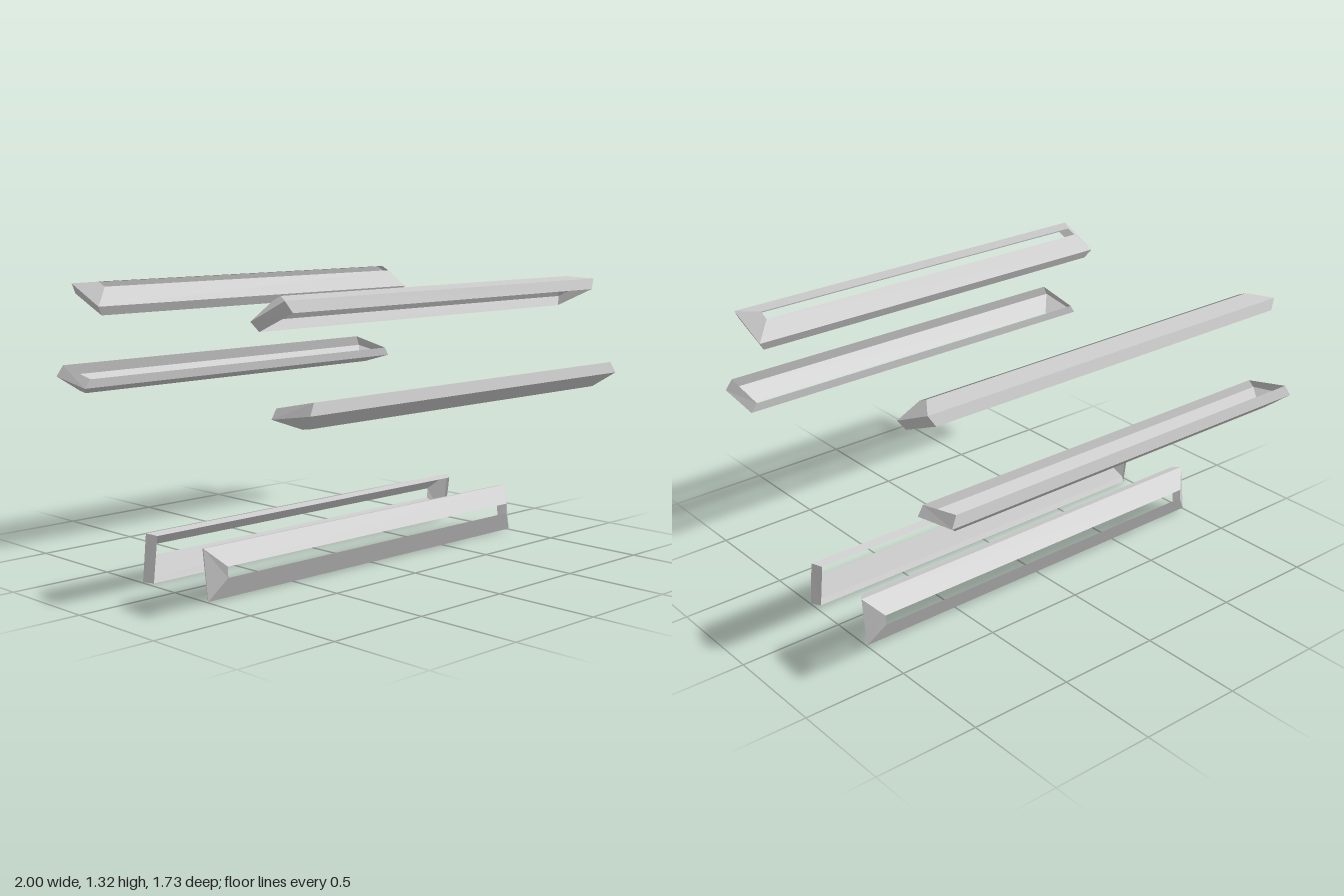
import * as THREE from 'three';

const material = new THREE.MeshStandardMaterial({ color: 0xcccccc, flatShading: true, side: THREE.DoubleSide });

// Half lengths of the three rectangular rings: open rim, widest ring, bevelled opening
const halfLengths = [0.97, 1, 0.925];

// Each ring is given by its two long edges as [z, y]
const frames = {
  lowerFrame: [
    [[0.157, 0.222], [0.188, 0.0]],
    [[0.2, 0.232], [0.228, 0.004]],
    [[0.273, 0.153], [0.273, 0.104]],
  ],
  middleFrame: [
    [[0.855, 0.923], [0.636, 0.877]],
    [[0.866, 0.872], [0.64, 0.835]],
    [[0.787, 0.805], [0.742, 0.798]],
  ],
  upperFrame: [
    [[0.737, 1.264], [0.537, 1.176]],
    [[0.723, 1.313], [0.517, 1.218]],
    [[0.616, 1.323], [0.57, 1.302]],
  ],
};

// Open shell lofted through the rectangular rings; side = 1 front, -1 back
function frameGeometry(rings, side) {
  const loops = rings.map(([[z1, y1], [z2, y2]], i) => {
    const x = halfLengths[i];
    return [[x, y1, z1 * side], [-x, y1, z1 * side], [-x, y2, z2 * side], [x, y2, z2 * side]];
  });
  const positions = [];
  for (let i = 0; i < loops.length - 1; i++) {
    for (let j = 0; j < 4; j++) {
      const k = (j + 1) % 4;
      const a = loops[i][j], b = loops[i][k], c = loops[i + 1][k], d = loops[i + 1][j];
      // keep the outside of the shell facing out on both halves
      const corners = side > 0 ? [a, b, c, a, c, d] : [a, c, b, a, d, c];
      positions.push(...corners.flat());
    }
  }
  const geometry = new THREE.BufferGeometry();
  geometry.setAttribute('position', new THREE.Float32BufferAttribute(positions, 3));
  geometry.computeVertexNormals();
  return geometry;
}

export function createModel() {
  const model = new THREE.Group();
  model.name = 'bevelledFrames';
  for (const [name, rings] of Object.entries(frames)) {
    for (const [suffix, side] of [['Front', 1], ['Back', -1]]) {
      const mesh = new THREE.Mesh(frameGeometry(rings, side), material);
      mesh.name = name + suffix;
      model.add(mesh);
    }
  }
  return model;
}
